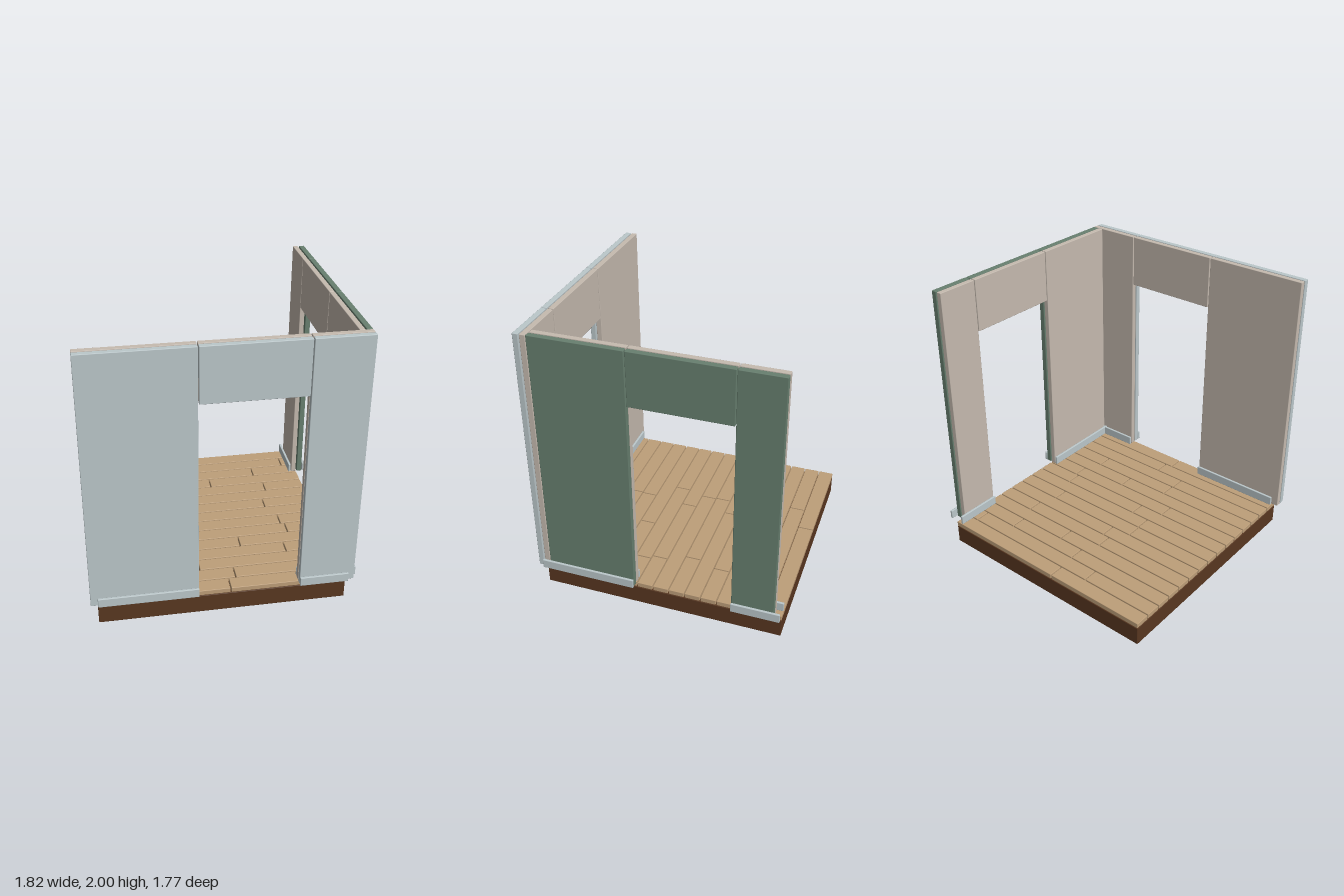
import * as THREE from 'three';
import { RoundedBoxGeometry } from 'three/addons/geometries/RoundedBoxGeometry.js';

const paint = (name, color) => {
  const m = new THREE.MeshStandardMaterial({ color });
  m.name = name;
  return m;
};

export function createModel() {
  const slate = paint('pale blue grey', 0xbcc8cb);
  const green = paint('sage green', 0x688070);
  const beige = paint('warm beige', 0xc6bbb0);
  const wood = paint('light wood', 0xbe9f79);
  const brown = paint('dark brown', 0x593720);

  const model = new THREE.Group();
  model.name = 'roomCorner';

  // Softly bevelled board given by its ranges along x, y and z
  const board = (parent, name, material, [x0, x1], [y0, y1], [z0, z1]) => {
    const geo = new RoundedBoxGeometry(x1 - x0, y1 - y0, z1 - z0, 1, 0.004);
    const mesh = new THREE.Mesh(geo, material);
    mesh.name = name;
    mesh.position.set((x0 + x1) / 2, (y0 + y1) / 2, (z0 + z1) / 2);
    parent.add(mesh);
  };
  const group = (name) => {
    const g = new THREE.Group();
    g.name = name;
    model.add(g);
    return g;
  };

  // Foundation
  const xMin = -0.865, xMax = 0.842, zMin = -0.886, zMax = 0.825;
  board(model, 'foundation', brown, [xMin, xMax], [0, 0.136], [zMin, zMax]);

  // Floor planks, back to front, with the joints of each row
  const joints = [
    [-0.108], [-0.32, 0.745], [-0.092, 0.482], [0.112], [-0.155, 0.532],
    [-0.098], [-0.25, 0.477], [-0.243], [-0.1, 0.543], [-0.288, 0.572],
    [0.192], [-0.136, 0.506], [-0.143], [0.092], [0.037, 0.813],
  ];
  const floor = group('floor');
  const pitch = (zMax - zMin + 0.008) / joints.length;
  joints.forEach((row, r) => {
    const z = zMin + r * pitch;
    const ends = [xMin - 0.004, ...row, xMax + 0.004];
    for (let i = 0; i < ends.length - 1; i++) {
      board(floor, 'plank', wood, [ends[i] + 0.004, ends[i + 1] - 0.004],
        [0.14, 0.177], [z, z + pitch - 0.008]);
    }
  });

  // Walls: two skins of panels around a doorway, with skirting on both faces
  const tall = [0.181, 2], header = [1.622, 2], low = [0.181, 0.247];
  const wall = (name, panels, skirts, skins, skirtDepths, place) => {
    const g = group(name);
    for (const [label, material, depth] of skins) {
      panels.forEach((span, i) =>
        place(g, label + (i === 1 ? 'Lintel' : 'Panel'), material, span, i === 1 ? header : tall, depth));
    }
    for (const depth of skirtDepths) {
      for (const span of skirts) place(g, 'skirtingBoard', slate, span, low, depth);
    }
  };

  wall('frontWall',
    [[-0.913, -0.189], [-0.183, 0.498], [0.504, 0.886]],
    [[xMin, -0.189], [0.504, xMax]],
    [['outer', slate, [0.826, 0.865]], ['inner', beige, [0.778, 0.817]]],
    [[0.87, 0.888], [0.755, 0.773]],
    (g, name, m, along, y, depth) => board(g, name, m, along, y, depth));

  wall('leftWall',
    [[0.143, 0.775], [-0.542, 0.137], [-0.841, -0.548]],
    [[0.143, zMax], [zMin, -0.548]],
    [['outer', green, [0.847, 0.886]], ['inner', beige, [0.801, 0.838]]],
    [[0.892, 0.91], [0.778, 0.796]],
    (g, name, m, along, y, depth) => board(g, name, m, depth, y, along));

  return model;
}
